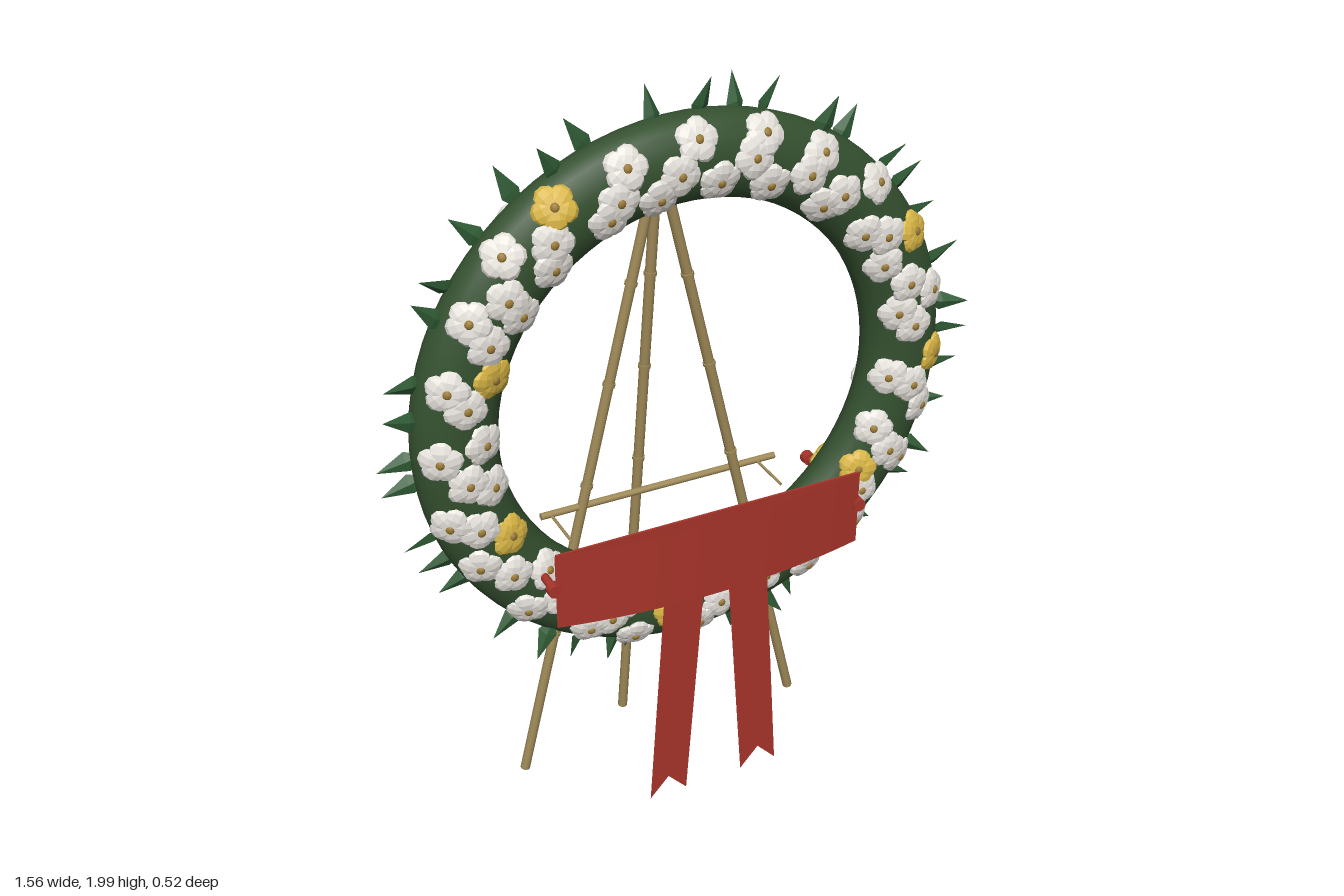
import * as THREE from 'three';
import { mergeGeometries } from 'three/addons/utils/BufferGeometryUtils.js';

const mat = (color, extra = {}) => new THREE.MeshStandardMaterial({ color, ...extra });
const GREEN = mat(0x34502f);
const LEAF = mat(0x2f5a34, { side: THREE.DoubleSide, flatShading: true });
const WHITE = mat(0xe6e2dc, { flatShading: true });
const YELLOW = mat(0xd8b545, { flatShading: true });
const HEART = mat(0x9a7a35);
const RED = mat(0xa8342a, { side: THREE.DoubleSide });
const BAMBOO = mat(0xa08a58);

const CX = 0.01, CY = 1.21, CZ = 0.07;   // wreath centre
const R = 0.6, TUBE = 0.105, DEPTH = 0.075; // ring radius, tube radius, half depth
const UP = new THREE.Vector3(0, 1, 0), FRONT = new THREE.Vector3(0, 0, 1);
const V = (x, y, z) => new THREE.Vector3(x, y, z);

let seed = 7;
const jitter = (a) => {
  seed = (seed * 16807) % 2147483647;
  return (seed / 2147483647 * 2 - 1) * a;
};

function add(parent, name, geometry, material) {
  const mesh = new THREE.Mesh(geometry, material);
  mesh.name = name;
  parent.add(mesh);
  return mesh;
}

function rod(parent, name, a, b, r, material) {
  const mesh = add(parent, name, new THREE.CylinderGeometry(r, r, a.distanceTo(b), 10), material);
  mesh.position.copy(a).lerp(b, 0.5);
  mesh.quaternion.setFromUnitVectors(UP, b.clone().sub(a).normalize());
  return mesh;
}

// Five overlapping, cupped petals, facing +z
function petalsGeometry() {
  const petals = [];
  for (let i = 0; i < 5; i++) {
    const g = new THREE.SphereGeometry(1, 8, 5);
    g.scale(0.029, 0.028, 0.011);
    g.rotateY(0.2);
    g.translate(0.026, 0, 0.002);
    g.rotateZ(i * Math.PI * 2 / 5);
    petals.push(g);
  }
  return mergeGeometries(petals);
}

// Pointed leaf along +y with a raised midrib
function leafGeometry() {
  const g = new THREE.BufferGeometry();
  g.setAttribute('position', new THREE.Float32BufferAttribute([
    0, 0, 0, -0.024, 0.045, -0.006, 0, 0.05, 0.006, 0.024, 0.045, -0.006, 0, 0.12, 0,
  ], 3));
  g.setIndex([0, 2, 1, 0, 3, 2, 1, 2, 4, 2, 3, 4]);
  g.computeVertexNormals();
  return g;
}

function buildWreath(root) {
  const wreath = new THREE.Group();
  wreath.name = 'wreath';
  wreath.position.set(CX, CY, CZ);
  root.add(wreath);

  const ring = add(wreath, 'wreathRing', new THREE.TorusGeometry(R, TUBE, 20, 80), GREEN);
  ring.scale.z = DEPTH / TUBE;

  const petals = petalsGeometry();
  const heart = new THREE.SphereGeometry(0.011, 8, 6);
  // Seat a flower on the tube surface; side is +1 for front, -1 for back
  const flower = (angle, radius, side, material) => {
    const c = (radius - R) / TUBE, s = side * Math.sqrt(1 - c * c);
    const group = new THREE.Group();
    group.name = 'flower';
    group.position.set(Math.cos(angle) * radius, Math.sin(angle) * radius, s * DEPTH);
    const n = V(Math.cos(angle) * c / TUBE, Math.sin(angle) * c / TUBE, s / DEPTH).normalize();
    group.quaternion.setFromUnitVectors(FRONT, n);
    add(group, 'petals', petals, material).rotation.z = jitter(Math.PI);
    const h = add(group, 'flowerHeart', heart, HEART);
    h.position.z = 0.012;
    h.scale.z = 0.6;
    wreath.add(group);
  };

  // Front: three staggered rows, back: one zigzag row
  const yellow = new Set([0, 2, 8, 24 + 17, 48 + 10, 48 + 13, 48 + 21]);
  [0.66, 0.6, 0.552].forEach((radius, row) => {
    for (let i = 0; i < 24; i++) {
      const a = THREE.MathUtils.degToRad(15 * i + 5 * row + jitter(2.5));
      flower(a, radius + jitter(0.012), 1, yellow.has(row * 24 + i) ? YELLOW : WHITE);
    }
  });
  for (let i = 0; i < 28; i++) {
    const a = i * Math.PI * 2 / 28 + jitter(0.04);
    flower(a, i % 2 ? 0.57 : 0.635, -1, i % 6 === 1 ? YELLOW : WHITE);
  }

  // Leaves pointing outwards around the rim
  const leaf = leafGeometry();
  for (let i = 0; i < 40; i++) {
    const a = i * Math.PI * 2 / 40 + jitter(0.05);
    const m = add(wreath, 'leaf', leaf, LEAF);
    m.position.set(Math.cos(a) * 0.665, Math.sin(a) * 0.665, jitter(0.025));
    m.rotation.set(jitter(0.25), jitter(0.5), a - Math.PI / 2 + jitter(0.3), 'ZXY');
  }
}

function buildRibbon(root) {
  const ribbon = new THREE.Group();
  ribbon.name = 'ribbon';
  root.add(ribbon);

  // Banner bowed forwards, with a thin flat backing
  const banner = new THREE.PlaneGeometry(0.84, 0.21, 24, 1);
  const p = banner.attributes.position;
  for (let i = 0; i < p.count; i++) p.setZ(i, 0.045 * (1 - (p.getX(i) / 0.42) ** 2));
  banner.computeVertexNormals();
  add(ribbon, 'banner', banner, RED).position.set(0.005, 0.835, 0.218);
  add(ribbon, 'bannerBacking', new THREE.BoxGeometry(0.83, 0.205, 0.006), RED)
    .position.set(0.005, 0.835, 0.213);

  // Posts through the ring, ending in knobs
  for (const s of [-1, 1]) {
    const x = 0.005 + s * 0.422;
    rod(ribbon, 'bannerPost', V(x, 0.84, -0.045), V(x, 0.84, 0.222), 0.011, RED);
    for (const z of [-0.04, 0.212])
      rod(ribbon, 'postKnob', V(x, 0.84, z - 0.012), V(x, 0.84, z + 0.012), 0.018, RED);

    // Swallow-tailed streamer
    const tail = new THREE.Shape([[0.03, 0.8], [0.14, 0.8], [0.187, 0.1], [0.134, 0.158], [0.082, 0.1]]
      .map(([u, y]) => new THREE.Vector2(0.005 + s * u, y)));
    add(ribbon, 'streamer', new THREE.ShapeGeometry(tail), RED).position.z = 0.24;
  }
}

function buildStand(root) {
  const stand = new THREE.Group();
  stand.name = 'stand';
  root.add(stand);

  // Three bamboo legs with nodes
  const legs = [
    [V(-0.398, 0.005, -0.122), V(0.015, 1.775, -0.085)],
    [V(0.437, 0.005, -0.112), V(0.0, 1.775, -0.072)],
    [V(-0.04, 0.005, -0.248), V(0.006, 1.785, -0.078)],
  ];
  for (const [foot, top] of legs) {
    rod(stand, 'leg', foot, top, 0.0135, BAMBOO);
    const dir = top.clone().sub(foot).normalize();
    for (const t of [0.25, 0.5, 0.66, 0.81]) {
      const c = foot.clone().lerp(top, t);
      rod(stand, 'legNode', c.clone().addScaledVector(dir, -0.005), c.clone().addScaledVector(dir, 0.005), 0.0165, BAMBOO);
    }
  }
  // Lashing at the apex
  const lashing = add(stand, 'lashing', new THREE.TorusGeometry(0.026, 0.004, 6, 20), HEART);
  lashing.position.set(0.006, 1.74, -0.08);
  lashing.rotation.x = Math.PI / 2;

  // Crossbar and the pegs holding the wreath
  rod(stand, 'crossbar', V(-0.32, 0.83, -0.107), V(0.36, 0.83, -0.107), 0.0095, BAMBOO);
  for (const x of [-0.293, 0.305])
    rod(stand, 'peg', V(x, 0.83, -0.105), V(x, 0.83, 0.03), 0.004, BAMBOO);
}

export function createModel() {
  const root = new THREE.Group();
  root.name = 'wreathOnStand';
  buildWreath(root);
  buildRibbon(root);
  buildStand(root);
  return root;
}
